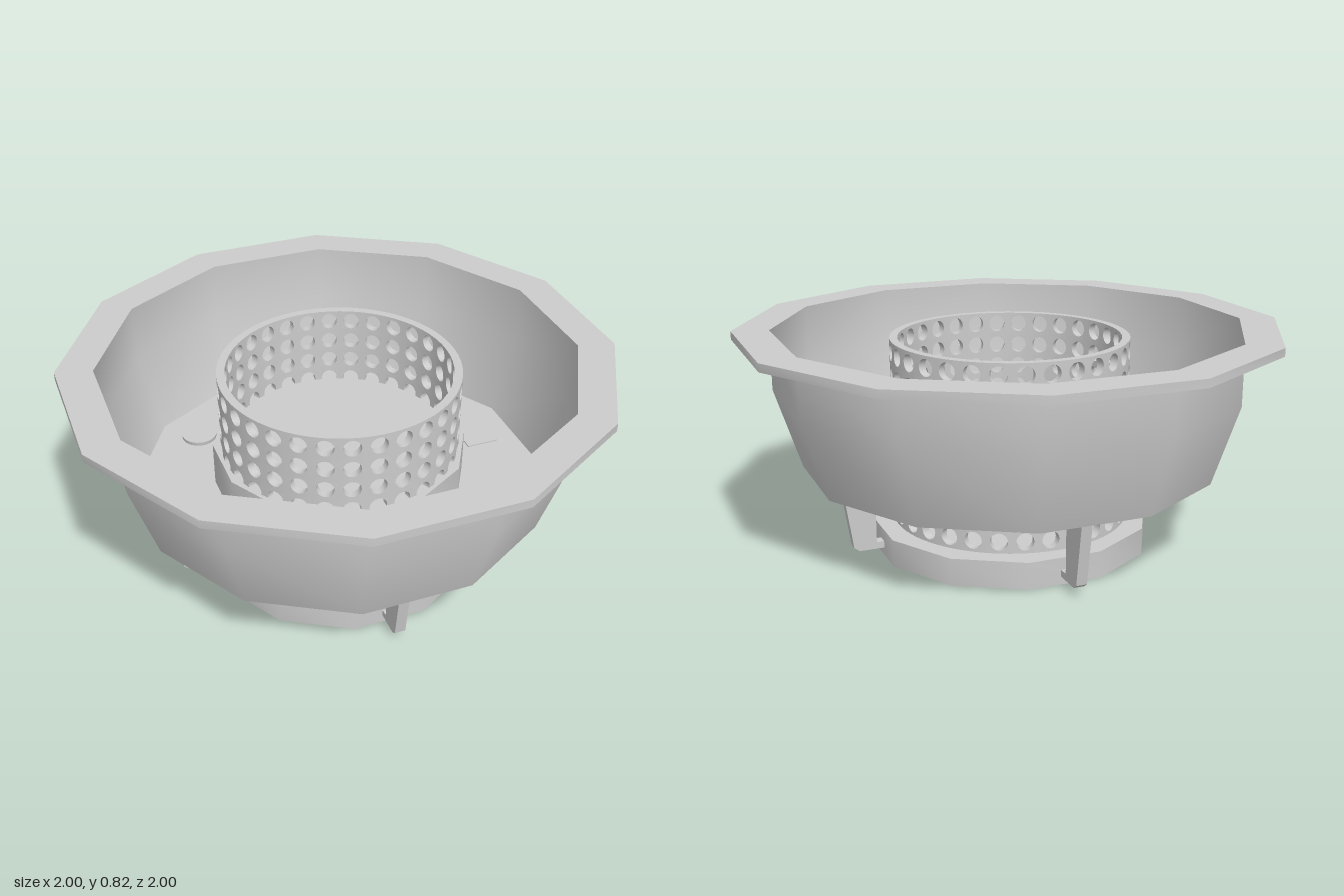
import * as THREE from 'three';
import { toCreasedNormals } from 'three/addons/utils/BufferGeometryUtils.js';

const SIDES = 12;
const grey = new THREE.MeshStandardMaterial({ color: 0xcccccc });
const greySheet = new THREE.MeshStandardMaterial({ color: 0xcccccc, side: THREE.DoubleSide });

function part(name, geometry, material = grey) {
  const mesh = new THREE.Mesh(geometry, material);
  mesh.name = name;
  return mesh;
}

// Revolved part from [radius, height] points, smooth around, sharp at corners
function lathe(name, points, sides = SIDES) {
  const profile = points.map(([r, y]) => new THREE.Vector2(r, y));
  return part(name, toCreasedNormals(new THREE.LatheGeometry(profile, sides), 0.6), greySheet);
}

// Tube wall made of cells, each with one round hole through its thickness
function perforatedTube(outer, inner, y0, y1, rows, columns, holeRadius) {
  const steps = 16;
  const halfH = (y1 - y0) / rows / 2;
  const halfW = Math.PI * outer / columns;
  const positions = [];
  for (let row = 0; row < rows; row++) {
    for (let col = 0; col < columns; col++) {
      const midY = y0 + halfH * (2 * row + 1);
      const midAngle = (col + 0.5) * 2 * Math.PI / columns;
      // Rings: outer border, outer hole edge, inner hole edge, inner border
      const point = (ring, k) => {
        const t = (k / steps) * Math.PI * 2;
        const c = Math.cos(t), s = Math.sin(t);
        const border = ring === 0 || ring === 3;
        const m = Math.max(Math.abs(c), Math.abs(s));
        const u = border ? c / m * halfW : c * holeRadius;
        const v = border ? s / m * halfH : s * holeRadius;
        const r = ring < 2 ? outer : inner;
        const a = midAngle + u / outer;
        return [r * Math.sin(a), midY + v, r * Math.cos(a)];
      };
      for (let ring = 0; ring < 3; ring++) {
        for (let k = 0; k < steps; k++) {
          const a = point(ring, k), b = point(ring, k + 1);
          const c = point(ring + 1, k + 1), d = point(ring + 1, k);
          positions.push(...a, ...b, ...c, ...a, ...c, ...d);
        }
      }
    }
  }
  const geometry = new THREE.BufferGeometry();
  geometry.setAttribute('position', new THREE.Float32BufferAttribute(positions, 3));
  geometry.computeVertexNormals();
  return toCreasedNormals(geometry, 0.6);
}

export function createModel() {
  const model = new THREE.Group();
  model.name = 'strainerBasin';

  // Thin bowl with a flat floor, and the flange around its mouth
  model.add(lathe('bowl', [[0, 0.305], [0.77, 0.305], [0.865, 0.6], [0.865, 0.82]]));
  model.add(lathe('flange', [[0.865, 0.79], [1, 0.79], [1, 0.82], [0.865, 0.82]]));

  // Raised boss on the bowl floor and base plate under the strainer
  model.add(lathe('floorBoss', [[0.47, 0.305], [0.47, 0.475], [0, 0.475]]));
  model.add(lathe('basePlate', [[0, 0], [0.525, 0], [0.525, 0.1], [0, 0.1]]));

  // Perforated strainer tube with its rim
  const strainer = new THREE.Group();
  strainer.name = 'strainer';
  strainer.add(part('strainerWall', perforatedTube(0.44, 0.41, 0.1, 0.78, 8, 30, 0.032)));
  const rim = part('strainerRim', new THREE.RingGeometry(0.41, 0.44, 60));
  rim.rotation.x = -Math.PI / 2;
  rim.position.y = 0.78;
  strainer.add(rim);
  model.add(strainer);

  // Four tapered legs with inward hooks that grip the base plate
  const outline = [[0.54, 0.31], [0.50, 0.055], [0.50, 0.03], [0.605, 0.03], [0.625, 0.045], [0.665, 0.31]];
  outline.splice(1, 0, [0.54, 0.055]);
  const legGeometry = new THREE.ExtrudeGeometry(
    new THREE.Shape(outline.map(([x, y]) => new THREE.Vector2(x, y))),
    { depth: 0.04, bevelEnabled: false });
  legGeometry.translate(0, 0, -0.02);
  const legs = new THREE.Group();
  legs.name = 'legs';
  legs.position.x = -0.0075;
  for (let i = 0; i < 4; i++) {
    const leg = part('leg', legGeometry);
    leg.rotation.y = Math.PI / 4 + i * Math.PI / 2;
    legs.add(leg);
  }
  model.add(legs);

  // Round-bottomed drain plug set in the floor
  const plugProfile = [];
  for (let i = 0; i <= 8; i++) {
    const a = (i / 8) * Math.PI / 2;
    plugProfile.push([0.068 * Math.sin(a), 0.32 - 0.068 * Math.cos(a)]);
  }
  plugProfile.push([0, 0.32]);
  const plug = lathe('drainPlug', plugProfile, 32);
  plug.position.x = -0.61;
  model.add(plug);

  return model;
}
